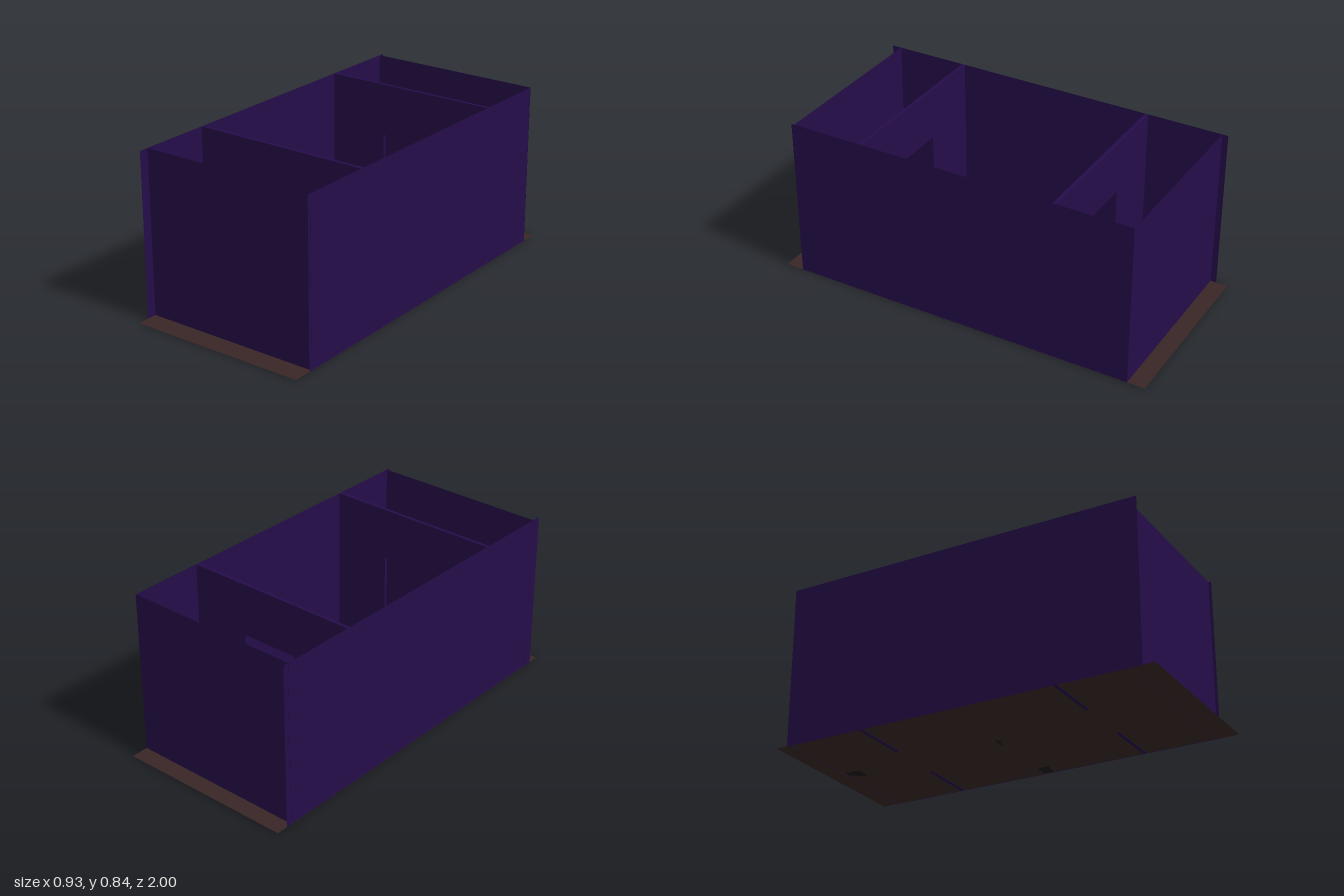
import * as THREE from 'three';

const W = 0.934, H = 0.84;

export function createModel() {
  const model = new THREE.Group();
  model.name = 'openRoom';

  const material = (name, color, side = THREE.FrontSide) => {
    const m = new THREE.MeshStandardMaterial({ color, side });
    m.name = name;
    return m;
  };
  const purple = material('wallPurple', 0x250d4a, THREE.DoubleSide);
  const brown = material('floorBrown', 0x392626, THREE.DoubleSide);
  const pale = material('panelGrey', 0xd6d6d3);
  const dark = material('frameDark', 0x1a1a1a);

  const add = (name, geometry, mat, x, y, z, parent = model) => {
    const mesh = new THREE.Mesh(geometry, mat);
    mesh.name = name;
    mesh.position.set(x, y, z);
    parent.add(mesh);
    return mesh;
  };

  // Floor sheet, a little longer than the walls
  add('floor', new THREE.PlaneGeometry(W, 2).rotateX(-Math.PI / 2), brown, 0, 0.002, 0);

  // Outer walls: thin sheets, the left one (-x) runs past both ends
  const sideWall = (name, x, z0, z1) =>
    add(name, new THREE.PlaneGeometry(z1 - z0, H).rotateY(Math.PI / 2), purple, x, H / 2, (z0 + z1) / 2);
  sideWall('sideWallLong', -0.466, -0.94, 0.94);
  sideWall('sideWallShort', 0.466, -0.91, 0.905);
  add('frontWall', new THREE.PlaneGeometry(W, H), purple, 0, H / 2, 0.89);
  add('backWall', new THREE.PlaneGeometry(W, H), purple, 0, H / 2, -0.91);

  // Partitions with a central doorway
  const half = W / 2 - 0.002;
  const outline = new THREE.Shape([
    [-half, 0], [-0.15, 0], [-0.15, 0.573], [0.16, 0.573],
    [0.16, 0], [half, 0], [half, H], [-half, H],
  ].map(([x, y]) => new THREE.Vector2(x, y)));
  const partition = new THREE.ExtrudeGeometry(outline, { depth: 0.017, bevelEnabled: false });
  add('frontPartition', partition, purple, 0, 0, 0.505);
  add('backPartition', partition, purple, 0, 0, -0.524);

  // Framed square panels on the floor
  const frame = new THREE.BoxGeometry(0.078, 0.016, 0.078);
  const face = new THREE.BoxGeometry(0.066, 0.004, 0.066);
  for (const [x, z] of [[0.003, 0], [-0.425, 0], [0.422, 0], [0.005, -0.86], [0.005, 0.835]]) {
    const panel = new THREE.Group();
    panel.name = 'floorPanel';
    panel.position.set(x, 0.002, z);
    add('panelFrame', frame, dark, 0, 0.008, 0, panel);
    add('panelFace', face, pale, 0, 0.017, 0, panel);
    model.add(panel);
  }

  // Small slanted marker on the centre panel
  add('centreMark', new THREE.BoxGeometry(0.014, 0.003, 0.034), dark, 0.003, 0.022, 0).rotation.y = 0.6;

  return model;
}
